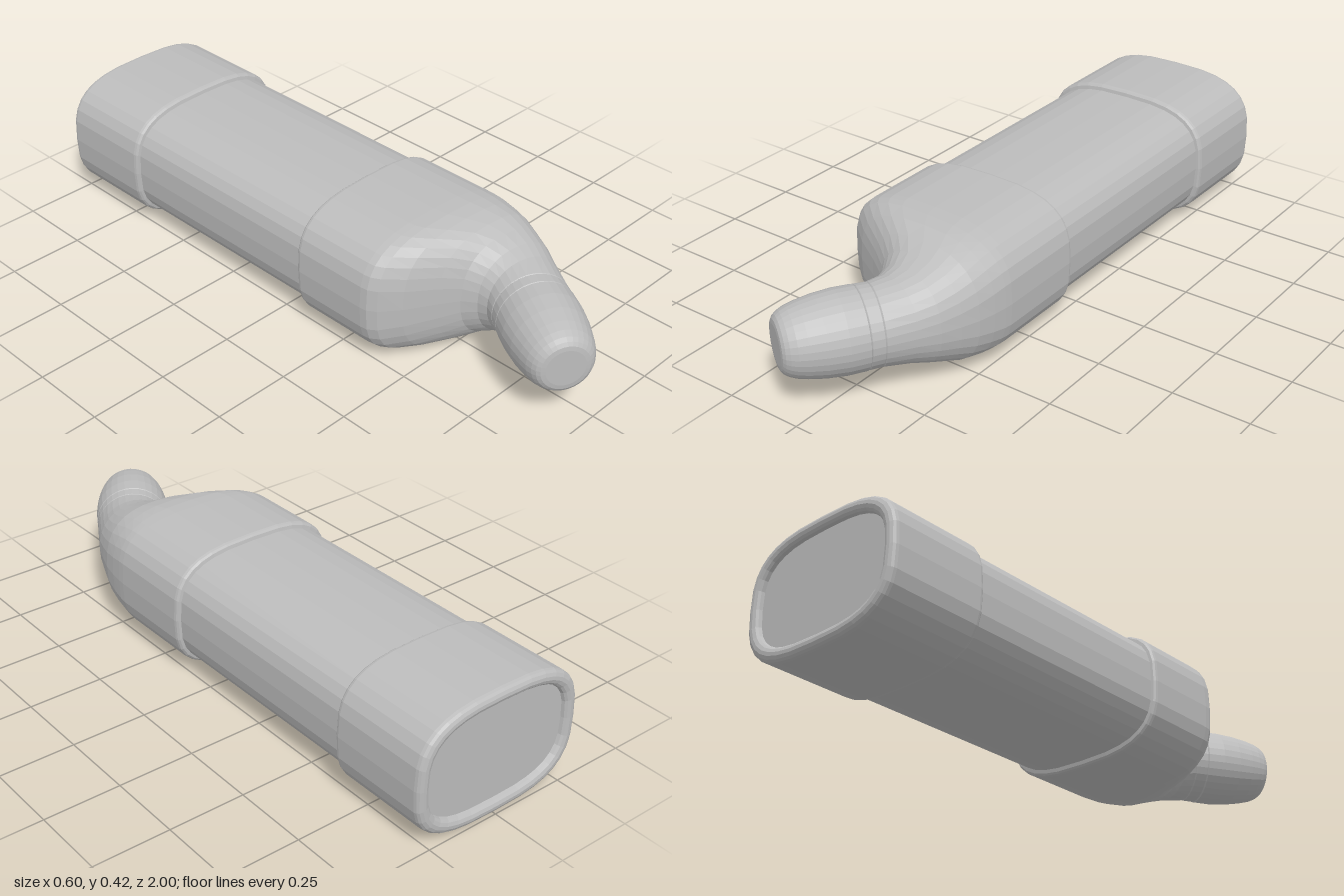
import * as THREE from 'three';

const SIDES = 32, MID_Y = 0.209;

// One cross-section: its right (-x) and left (+x) edge points as [x, z], half height, roundness exponent
const section = (a, b, h, n) => ({ a, b, h, n });
// Straight section of the oblong casing at depth z, shrunk by an inset
const oblong = (z, inset = 0, w = 0.3, h = 0.208) => section([-w + inset, z], [w - inset, z], h - inset, 3.05);

// Skins a list of sections running from back to front and closes both ends
function loft(sections) {
  const pos = [], idx = [];
  for (const { a, b, h, n } of sections) {
    const cx = (a[0] + b[0]) / 2, cz = (a[1] + b[1]) / 2;
    const ux = (b[0] - a[0]) / 2, uz = (b[1] - a[1]) / 2;
    for (let j = 0; j < SIDES; j++) {
      const t = (j / SIDES) * Math.PI * 2, c = Math.cos(t), s = Math.sin(t);
      const u = Math.sign(c) * Math.abs(c) ** (2 / n);
      const v = Math.sign(s) * Math.abs(s) ** (2 / n);
      pos.push(cx + ux * u, MID_Y + h * v, cz + uz * u);
    }
  }
  const last = sections.length - 1;
  for (let i = 0; i < last; i++) {
    for (let j = 0; j < SIDES; j++) {
      const k = (j + 1) % SIDES, p = i * SIDES, q = p + SIDES;
      idx.push(p + j, p + k, q + k, p + j, q + k, q + j);
    }
  }
  for (const i of [0, last]) {
    const { a, b } = sections[i], centre = pos.length / 3;
    pos.push((a[0] + b[0]) / 2, MID_Y, (a[1] + b[1]) / 2);
    for (let j = 0; j < SIDES; j++) {
      const p = i * SIDES + j, q = i * SIDES + (j + 1) % SIDES;
      if (i === 0) idx.push(centre, q, p);
      else idx.push(centre, p, q);
    }
  }
  const geometry = new THREE.BufferGeometry();
  geometry.setAttribute('position', new THREE.Float32BufferAttribute(pos, 3));
  geometry.setIndex(idx);
  geometry.computeVertexNormals();
  return geometry;
}

// Round section on the angled spout axis: distance s along it, radius r
function spout(s, r) {
  const dx = -0.525, dz = 0.851, x = 0.05 + dx * s, z = 0.72 + dz * s;
  return section([x - dz * r, z + dx * r], [x + dz * r, z - dx * r], r, 2);
}

export function createModel() {
  const group = new THREE.Group();
  const grey = new THREE.MeshStandardMaterial({ color: 0xbcbcbc, flatShading: true });
  grey.name = 'grey plastic';
  const add = (name, sections) => {
    const mesh = new THREE.Mesh(loft(sections), grey);
    mesh.name = name;
    group.add(mesh);
  };

  // Middle tube
  add('body', [oblong(-0.7, 0, 0.285, 0.19), oblong(0.15, 0, 0.285, 0.19)]);

  // Rear cap with a raised rim around a recessed end plate
  add('rearCap', [
    oblong(-0.98, 0.045), oblong(-0.99, 0.042), oblong(-0.996, 0.036), oblong(-1, 0.026),
    oblong(-0.999, 0.016), oblong(-0.994, 0.007), oblong(-0.987, 0.002), oblong(-0.978),
    oblong(-0.672), oblong(-0.664, 0.002), oblong(-0.658, 0.007), oblong(-0.655, 0.018),
  ]);

  // Front shell narrowing and bending into the neck
  add('frontShell', [
    oblong(0.098, 0.018), oblong(0.101, 0.007), oblong(0.107, 0.002), oblong(0.115),
    section([-0.3, 0.365], [0.3, 0.385], 0.208, 3.05),
    section([-0.297, 0.388], [0.3, 0.405], 0.207, 3.05),
    section([-0.28, 0.415], [0.298, 0.43], 0.206, 3.0),
    section([-0.22, 0.462], [0.292, 0.475], 0.2, 2.8),
    section([-0.13, 0.514], [0.28, 0.53], 0.186, 2.6),
    section([-0.07, 0.552], [0.26, 0.585], 0.165, 2.4),
    section([-0.042, 0.592], [0.235, 0.645], 0.145, 2.25),
    section([-0.038, 0.625], [0.203, 0.7], 0.131, 2.1),
    spout(-0.003, 0.122), spout(0, 0.119),
  ]);

  // Narrow ring between two fine grooves
  add('neckRing', [spout(-0.002, 0.119), spout(0.002, 0.122), spout(0.038, 0.123), spout(0.041, 0.12)]);

  // Tapered rounded mouthpiece
  add('mouthpiece', [
    spout(0.039, 0.12), spout(0.043, 0.124), spout(0.1, 0.125), spout(0.16, 0.12),
    spout(0.21, 0.111), spout(0.24, 0.103), spout(0.26, 0.094), spout(0.272, 0.085),
    spout(0.279, 0.074), spout(0.281, 0.06),
  ]);

  return group;
}
